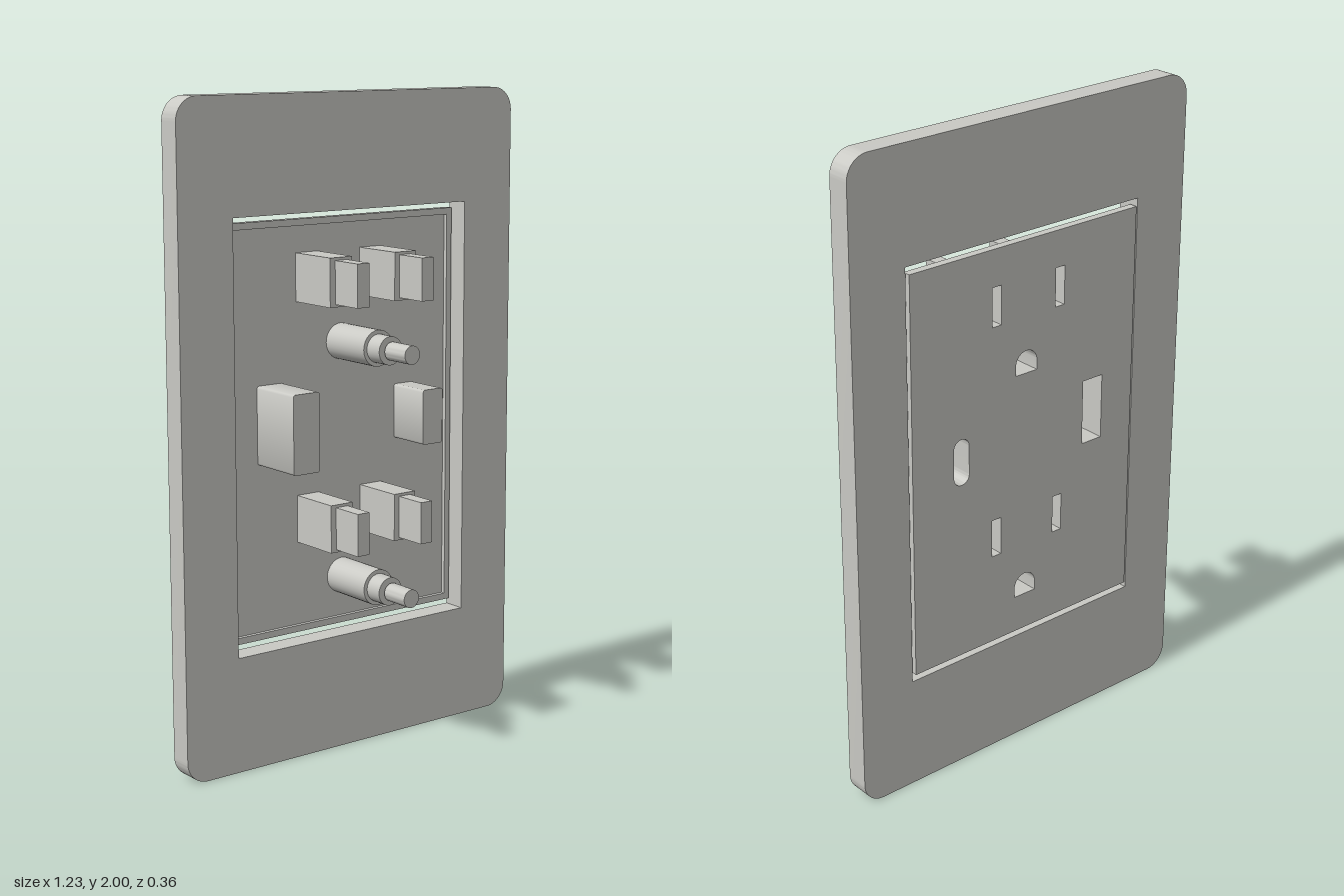
import * as THREE from 'three';
import { toCreasedNormals } from 'three/addons/utils/BufferGeometryUtils.js';

// Outline helpers: each traces onto a Shape or Path
function rect(p, cx, cy, w, h, r = 0) {
  const x = w / 2, y = h / 2;
  if (!r) {
    p.moveTo(cx - x, cy - y).lineTo(cx + x, cy - y).lineTo(cx + x, cy + y).lineTo(cx - x, cy + y).closePath();
    return p;
  }
  p.moveTo(cx - x + r, cy - y);
  p.lineTo(cx + x - r, cy - y);
  p.absarc(cx + x - r, cy - y + r, r, -Math.PI / 2, 0);
  p.lineTo(cx + x, cy + y - r);
  p.absarc(cx + x - r, cy + y - r, r, 0, Math.PI / 2);
  p.lineTo(cx - x + r, cy + y);
  p.absarc(cx - x + r, cy + y - r, r, Math.PI / 2, Math.PI);
  p.lineTo(cx - x, cy - y + r);
  p.absarc(cx - x + r, cy - y + r, r, Math.PI, Math.PI * 1.5);
  return p;
}

function circle(p, cx, cy, r) {
  p.absarc(cx, cy, r, 0, Math.PI * 2);
  return p;
}

// Round-topped, flat-bottomed earth pin opening
function dome(p, cx, cy) {
  p.moveTo(cx - 0.04, cy - 0.03);
  p.lineTo(cx + 0.04, cy - 0.03);
  p.lineTo(cx + 0.04, cy);
  p.absarc(cx, cy, 0.04, 0, Math.PI);
  p.closePath();
  return p;
}

export function createModel() {
  const group = new THREE.Group();
  const material = new THREE.MeshStandardMaterial({ color: 0xc9c9c4 });
  material.name = 'warm grey plastic';

  const BACK = -0.178, FACE = -0.165;

  // Extrudes outline(path) with optional holes between two depths
  function slab(name, outline, holes, z0, z1) {
    const shape = outline(new THREE.Shape());
    holes.forEach(h => shape.holes.push(h(new THREE.Path())));
    const geo = new THREE.ExtrudeGeometry(shape, { depth: z1 - z0, bevelEnabled: false, curveSegments: 14 });
    const mesh = new THREE.Mesh(toCreasedNormals(geo, 0.6), material);
    mesh.position.z = z0;
    mesh.name = name;
    group.add(mesh);
  }

  // Hollow housing, open at the back and capped at the front
  function housing(name, outline, hole, z0, z1) {
    slab(name, outline, [hole], z0, z1 - 0.005);
    slab(name + 'Cap', outline, [], z1 - 0.005, z1);
  }

  // Outer wall plate with its rectangular opening
  slab('wallPlate', p => rect(p, 0, 1, 1.23, 2, 0.07),
    [p => rect(p, 0, 1.005, 0.86, 1.3)], -0.173, -0.1);

  const faceHoles = [];

  // Blade sockets and earth sockets, upper and lower
  for (const [bladeY, earthY] of [[1.46, 1.255], [0.727, 0.525]]) {
    for (const x of [-0.126, 0.112]) {
      const slot = p => rect(p, x, bladeY, 0.034, 0.12);
      faceHoles.push(slot);
      slab('bladeHousing', p => rect(p, x, bladeY, 0.08, 0.145), [slot], FACE, 0.005);
      housing('bladeTip', p => rect(p, x, bladeY, 0.043, 0.128), slot, 0.005, 0.11);
    }
    const pin = p => dome(p, 0, earthY);
    faceHoles.push(pin);
    housing('earthHousing', p => circle(p, 0, earthY, 0.055), pin, FACE, 0.019);
    slab('earthCollar', p => circle(p, 0, earthY, 0.043), [], 0.019, 0.077);
    slab('earthTip', p => circle(p, 0, earthY, 0.028), [], 0.084, 0.178);
  }

  // Large and small charging ports
  const wide = p => rect(p, -0.262, 1.03, 0.076, 0.205);
  const small = p => rect(p, 0.243, 1.015, 0.056, 0.145, 0.0275);
  faceHoles.push(wide, small);
  housing('largePortHousing', p => rect(p, -0.262, 1.03, 0.094, 0.238, 0.008), wide, FACE, 0.018);
  housing('smallPortHousing', p => rect(p, 0.243, 1.015, 0.076, 0.17, 0.008), small, FACE, -0.022);

  // Central insert face and its shallow rim
  slab('insertFace', p => rect(p, 0, 1.005, 0.842, 1.256), faceHoles, BACK, FACE);
  slab('insertRim', p => rect(p, 0, 1.005, 0.842, 1.256),
    [p => rect(p, 0, 1.005, 0.804, 1.216)], FACE, -0.152);

  return group;
}
